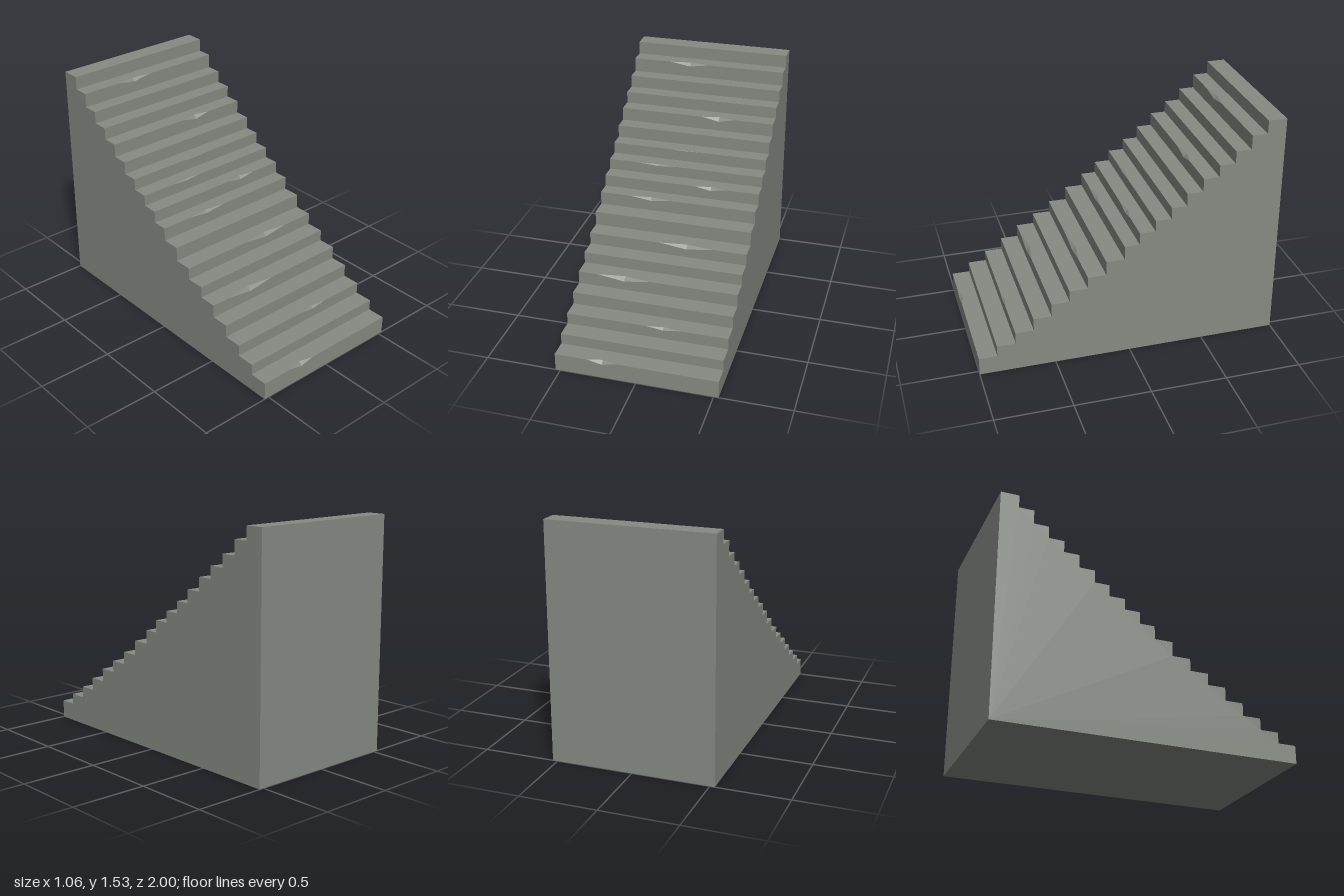
import * as THREE from 'three';
import { mergeGeometries } from 'three/addons/utils/BufferGeometryUtils.js';

const HALF = 0.532; // half width of the flight
// Front edge (z) and height (y) of each step, from the bottom up
const Z = [1, 0.88, 0.758, 0.638, 0.519, 0.4, 0.28, 0.159, 0.039, -0.06, -0.163, -0.266, -0.366, -0.47, -0.573, -0.676, -0.777, -0.878];
const Y = [0.12, 0.193, 0.27, 0.355, 0.443, 0.52, 0.601, 0.697, 0.786, 0.866, 0.94, 1.017, 1.102, 1.191, 1.27, 1.352, 1.447, 1.534];
const BACK = -1;
// Worn chips in the nosing, by step: left, middle, right, drop, depth
const CHIPS = {
  0: [-0.315, -0.22, -0.125, 0.022, 0.024],
  2: [-0.003, 0.11, 0.218, 0.015, 0.016],
  4: [-0.405, -0.22, -0.037, 0.026, 0.026],
  6: [-0.05, 0.13, 0.31, 0.024, 0.024],
  8: [-0.325, -0.18, -0.035, 0.018, 0.018],
  9: [0.1, 0.205, 0.31, 0.02, 0.02],
  10: [-0.317, -0.19, -0.067, 0.01, 0.01],
  11: [-0.145, -0.035, 0.075, 0.003, 0.003],
  13: [0.04, 0.155, 0.265, 0.025, 0.025],
  16: [-0.27, -0.13, 0.008, 0.022, 0.022],
};

const flat = (pts) => new THREE.ShapeGeometry(new THREE.Shape(pts.map(([x, y]) => new THREE.Vector2(x, y))));

export function createModel() {
  const group = new THREE.Group();
  const stone = new THREE.MeshStandardMaterial({ color: 0x858b83 });
  stone.name = 'grey stone';
  const add = (name, geometry) => {
    const mesh = new THREE.Mesh(geometry, stone);
    mesh.name = name;
    group.add(mesh);
  };

  Y.forEach((y, i) => {
    const z = Z[i], low = i ? Y[i - 1] : 0, rear = Z[i + 1] ?? BACK;
    const [l, m, r, drop, depth] = CHIPS[i] ?? [];
    const notch = (edge, tip) => (CHIPS[i] ? [[r, edge], [m, tip], [l, edge]] : []);

    // Riser and tread, each with the chip cut out of its front edge
    const riser = flat([[-HALF, low], [HALF, low], [HALF, y], ...notch(y, y - drop), [-HALF, y]]);
    riser.translate(0, 0, z);
    const tread = flat([[-HALF, -rear], [HALF, -rear], [HALF, -z], ...notch(-z, depth - z), [-HALF, -z]]);
    tread.rotateX(-Math.PI / 2).translate(0, y, 0);
    add('step' + (i + 1), mergeGeometries([riser, tread]));

    // Sloping faces left by the chip
    if (CHIPS[i]) {
      const L = [l, y, z], R = [r, y, z], F = [m, y - drop, z], B = [m, y, z - depth];
      const chip = new THREE.BufferGeometry();
      chip.setAttribute('position', new THREE.Float32BufferAttribute([L, F, B, F, R, B].flat(), 3));
      chip.computeVertexNormals();
      add('chip' + (i + 1), chip);
    }
  });

  // Stepped side walls
  const profile = [[BACK, 0], [1, 0]];
  Y.forEach((y, i) => profile.push([Z[i], y], [Z[i + 1] ?? BACK, y]));
  for (const side of [1, -1]) {
    const wall = flat(profile.map(([z, y]) => [-side * z, y]));
    add(side > 0 ? 'leftWall' : 'rightWall', wall.rotateY(side * Math.PI / 2).translate(side * HALF, 0, 0));
  }

  // Back wall and underside
  const top = Y[Y.length - 1];
  add('backWall', new THREE.PlaneGeometry(2 * HALF, top).rotateY(Math.PI).translate(0, top / 2, BACK));
  add('underside', new THREE.PlaneGeometry(2 * HALF, 2).rotateX(Math.PI / 2));
  return group;
}
